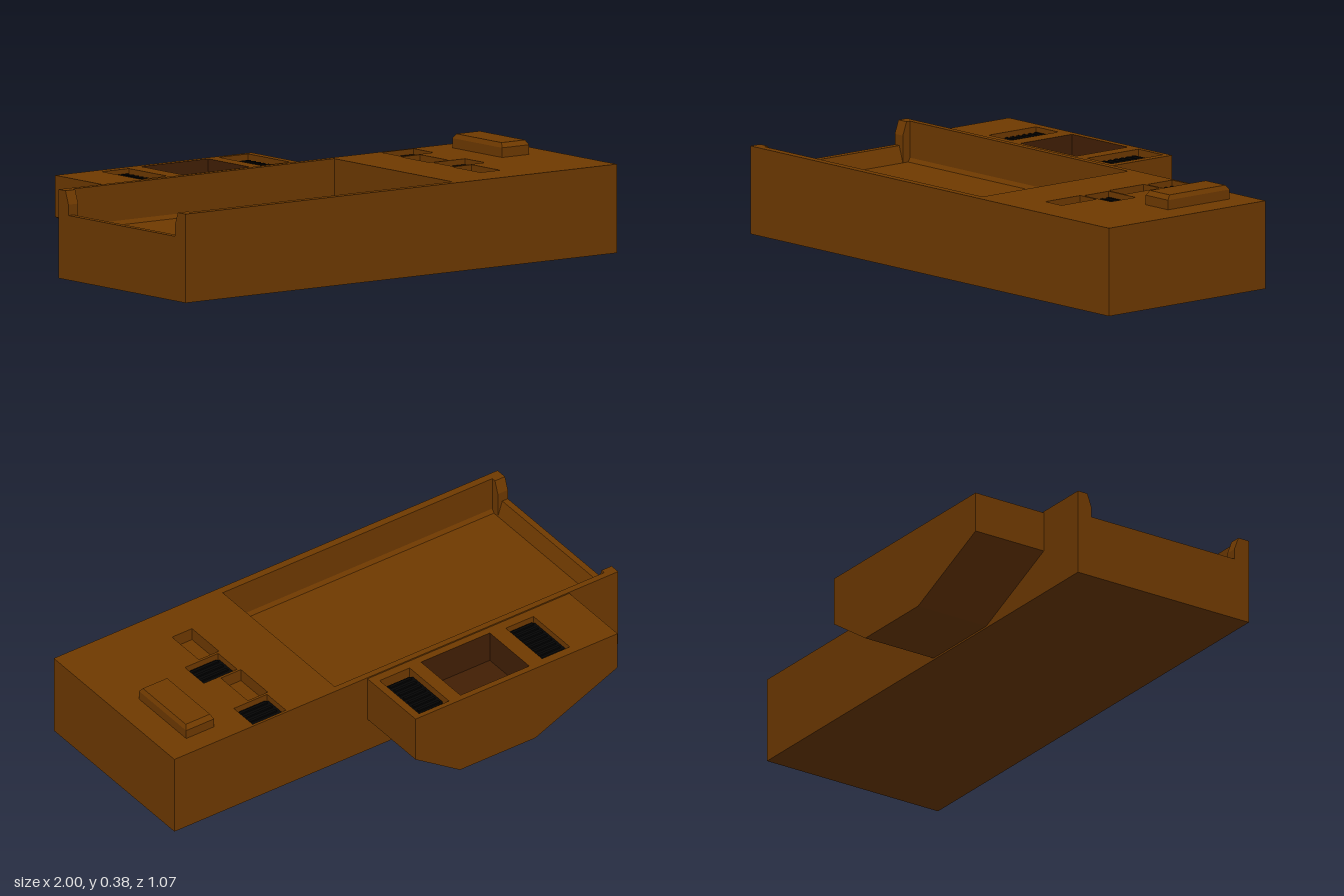
import * as THREE from 'three';

const brown = new THREE.MeshStandardMaterial({ color: 0x703a00 });
brown.name = 'brown hull';
const dark = new THREE.MeshStandardMaterial({ color: 0x421f04 });
dark.name = 'dark brown pit';
const black = new THREE.MeshStandardMaterial({ color: 0x040404 });
black.name = 'black panel';

// Corners of a plan rectangle [x0, x1, z0, z1]
const rect = ([x0, x1, z0, z1]) => [[x0, z0], [x1, z0], [x1, z1], [x0, z1]];

function add(group, name, geometry, material = brown) {
  const mesh = new THREE.Mesh(geometry, material);
  mesh.name = name;
  group.add(mesh);
}

function toShape(points, holes = []) {
  const v = (list) => list.map(([a, b]) => new THREE.Vector2(a, b));
  const shape = new THREE.Shape(v(points));
  holes.forEach((h) => shape.holes.push(new THREE.Path(v(h))));
  return shape;
}

const prism = (points, depth) =>
  new THREE.ExtrudeGeometry(toShape(points), { depth, bevelEnabled: false });

// Prism with a [z, y] profile, running from x0 to x1
const crossPrism = (profile, x0, x1) =>
  prism(profile, x1 - x0).rotateY(-Math.PI / 2).translate(x1, 0, 0);

// Horizontal upward face with rectangular holes
function sheet(outline, y, holes = []) {
  const flip = (list) => list.map(([x, z]) => [x, -z]);
  return new THREE.ShapeGeometry(toShape(flip(outline), holes.map((h) => flip(rect(h)))))
    .rotateX(-Math.PI / 2).translate(0, y, 0);
}

// Flat quads between two 3D polylines
function strip(a, b) {
  const pos = [];
  for (let i = 0; i < a.length - 1; i++) {
    pos.push(...a[i], ...a[i + 1], ...b[i + 1], ...a[i], ...b[i + 1], ...b[i]);
  }
  const g = new THREE.BufferGeometry();
  g.setAttribute('position', new THREE.Float32BufferAttribute(pos, 3));
  g.computeVertexNormals();
  return g;
}

// Upright walls round a closed plan outline; a rect faces inward, its reverse outward
function band(outline, y0, y1) {
  const loop = [...outline, outline[0]];
  return strip(loop.map(([x, z]) => [x, y0, z]), loop.map(([x, z]) => [x, y1, z]));
}

// Recess with walls and a floor
function well(group, name, r, y0, y1, material = brown) {
  add(group, name + 'Walls', band(rect(r), y0, y1), material);
  add(group, name + 'Floor', sheet(rect(r), y0), material);
}

// Black block with cut corners and low ribs, set in a recess
function ribbedPanel(parent, name, [x0, x1, z0, z1], y0, y1) {
  const g = new THREE.Group();
  g.name = name;
  const c = 0.01;
  const outline = [
    [x0 + c, z0], [x1 - c, z0], [x1, z0 + c], [x1, z1 - c],
    [x1 - c, z1], [x0 + c, z1], [x0, z1 - c], [x0, z0 + c],
  ];
  add(g, 'panelSides', band(outline.slice().reverse(), y0, y1), black);
  add(g, 'panelTop', sheet(outline, y1), black);
  const count = Math.round((z1 - z0) / 0.03);
  for (let i = 0; i < count; i++) {
    const z = z0 + (i + 0.5) * (z1 - z0) / count;
    const rib = new THREE.BoxGeometry(x1 - x0 - 0.024, 0.006, 0.012);
    add(g, 'panelRib', rib.translate((x0 + x1) / 2, y1 + 0.003, z), black);
  }
  parent.add(g);
}

function createHull() {
  const g = new THREE.Group();
  g.name = 'hull';
  const floorY = 0.178, topY = 0.33, wellY = 0.28;
  const plan = rect([-1, 1, -0.23, 0.535]);
  // U-shaped plan, open toward -x around the sunken deck
  const uPlan = [
    ...plan, [-1, 0.505], [0.26, 0.505], [0.26, -0.205], [-1, -0.205],
  ];
  const panels = [[0.49, 0.64, -0.22, -0.1], [0.49, 0.64, 0.09, 0.21]];
  const slots = [[0.48, 0.57, -0.09, 0.08], [0.48, 0.57, 0.22, 0.39]];
  add(g, 'hullBottom', sheet(plan, 0).rotateX(Math.PI).translate(0, 0, 0.305));
  add(g, 'hullLowerSides', band(plan.slice().reverse(), 0, floorY));
  add(g, 'hullUpperSides', band(uPlan.slice().reverse(), floorY, topY));
  add(g, 'hullTop', sheet(uPlan, topY, [...panels, ...slots]));
  add(g, 'deckFloor', sheet(rect([-1, 0.26, -0.205, 0.505]), floorY));
  slots.forEach((s) => well(g, 'slot', s, wellY, topY));
  panels.forEach((p) => {
    well(g, 'panelRecess', p, wellY, topY);
    ribbedPanel(g, 'controlPanel', p, wellY, 0.305);
  });

  // Coves along the deck and chamfered posts beside the lip, at both side walls
  for (const s of [1, -1]) {
    const side = (list) => list.map(([z, y]) => [0.15 + s * z, y]);
    add(g, 'deckCove', crossPrism(side([[0.355, floorY], [0.355, 0.193], [0.345, floorY]]), -0.96, 0.26));
    add(g, 'lipPost', crossPrism(side([
      [0.355, floorY], [0.355, 0.33], [0.338, 0.33], [0.32, 0.28], [0.32, floorY],
    ]), -1, -0.955));
  }
  // Sloped lip at the open end of the deck
  add(g, 'deckLip', prism([[-1, floorY], [-0.955, floorY], [-0.975, 0.24], [-1, 0.24]], 0.71)
    .translate(0, 0, -0.205));

  // Raised block with chamfered top edges
  const cap = new THREE.BoxGeometry(0.125, 0.054, 0.3, 1, 2, 1);
  const p = cap.attributes.position;
  for (let i = 0; i < p.count; i++) {
    if (p.getY(i) > 0.02) {
      p.setX(i, p.getX(i) - Math.sign(p.getX(i)) * 0.008);
      p.setZ(i, p.getZ(i) - Math.sign(p.getZ(i)) * 0.014);
    } else if (p.getY(i) > -0.01) {
      p.setY(i, 0.01);
    }
  }
  const flat = cap.toNonIndexed();
  flat.computeVertexNormals();
  add(g, 'raisedBlock', flat.translate(0.8275, 0.356, 0));
  return g;
}

function createSidePod() {
  const g = new THREE.Group();
  g.name = 'sidePod';
  const topY = 0.325, wellY = 0.285, rearZ = -0.535, innerZ = -0.23;
  const pit = [-0.4, -0.09, -0.51, -0.26];
  const recesses = [[-0.59, -0.465, -0.5, -0.27], [-0.035, 0.1, -0.515, -0.265]];
  // Ends and keel from one side profile
  const profile = [[-0.78, topY], [-0.78, 0.17], [-0.41, 0.007], [-0.07, 0.007], [0.13, 0.14], [0.13, topY]];
  add(g, 'podKeel', strip(profile.map(([x, y]) => [x, y, rearZ]), profile.map(([x, y]) => [x, y, innerZ])));
  add(g, 'podRear', new THREE.ShapeGeometry(toShape(profile.map(([x, y]) => [-x, y])))
    .rotateY(Math.PI).translate(0, 0, rearZ));
  add(g, 'podTop', sheet(rect([-0.78, 0.13, rearZ, innerZ]), topY, [pit, ...recesses]));
  well(g, 'pit', pit, 0.2, topY, dark);
  recesses.forEach((r) => well(g, 'panelRecess', r, wellY, topY));
  ribbedPanel(g, 'rearPanel', [-0.588, -0.467, -0.498, -0.272], wellY, 0.303);
  ribbedPanel(g, 'frontPanel', [-0.03, 0.09, -0.49, -0.285], wellY, 0.303);
  return g;
}

export function createModel() {
  const model = new THREE.Group();
  model.name = 'model';
  model.add(createHull(), createSidePod());
  return model;
}
